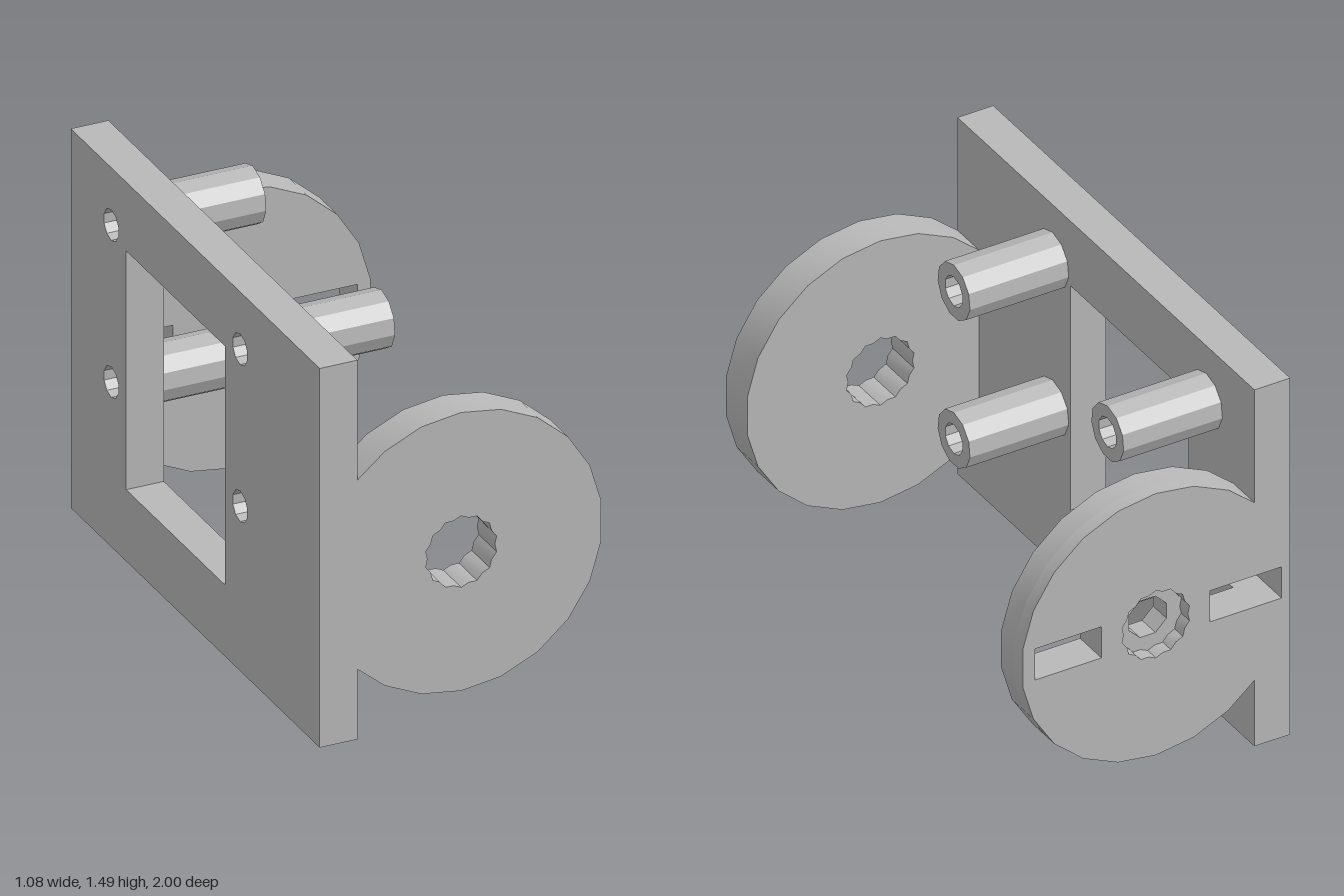
import * as THREE from 'three';
import { toCreasedNormals } from 'three/addons/utils/BufferGeometryUtils.js';

const CY = 0.645; // height of the disc axis

const ring = (cx, cy, r, n, start = Math.PI / 2) =>
  Array.from({ length: n }, (_, i) => {
    const a = start + (i * 2 * Math.PI) / n;
    const rad = typeof r === 'function' ? r(i) : r;
    return [cx + rad * Math.cos(a), cy + rad * Math.sin(a)];
  });
const rect = (x0, y0, x1, y1) => [[x0, y0], [x1, y0], [x1, y1], [x0, y1]];
const toVec = pts => pts.map(p => new THREE.Vector2(p[0], p[1]));

// Extrude an outline with holes along z
function slab(outline, holes, depth) {
  const shape = new THREE.Shape(toVec(outline));
  holes.forEach(h => shape.holes.push(new THREE.Path(toVec(h))));
  return new THREE.ExtrudeGeometry(shape, { depth, bevelEnabled: false });
}

export function createModel() {
  const model = new THREE.Group();
  const grey = new THREE.MeshStandardMaterial({ color: 0xb8b8b8 });
  grey.name = 'plain grey';

  const add = (name, geometry, x, z, crease = 0.45) => {
    const mesh = new THREE.Mesh(toCreasedNormals(geometry, crease), grey);
    mesh.name = name;
    mesh.position.set(x, 0, z);
    model.add(mesh);
  };
  // Profiles for the plate and posts are drawn as (-z, y) and extruded along x
  const alongX = g => g.rotateY(Math.PI / 2);

  // Mounting plate: window, four bores, and a slot end cut into the inner layer
  const posts = [-0.36, 0.675].flatMap(u => [CY, 1.26].map(y => [u, y]));
  const bore = ([u, y]) => ring(u, y, 0.06, 10);
  const cutouts = [rect(-0.24, 0.28, 0.555, 1.215), ...posts.map(bore)];
  const notched = [[-1, 0], [1, 0], [1, 0.58], [0.785, 0.58], [0.785, 0.71], [1, 0.71], [1, 1.485], [-1, 1.485]];
  add('plateOuterLayer', alongX(slab(rect(-1, 0, 1, 1.485), cutouts, 0.035)), -0.545, 0);
  add('plateInnerLayer', alongX(slab(notched, cutouts, 0.11)), -0.51, 0);

  // Hollow standoff posts
  posts.forEach(p => add('standoff', alongX(slab(ring(p[0], p[1], 0.11, 11), [bore(p)], 0.4)), -0.4, 0));

  // End discs, cut flat where they meet the plate
  const arc = ring(0, CY, 0.545, 22, -Math.PI / 2).filter(p => p[0] > -0.4);
  arc.sort((a, b) => Math.atan2(a[1] - CY, a[0]) - Math.atan2(b[1] - CY, b[0]));
  const disc = [[-0.4, 0.275], ...arc, [-0.4, 1.015]];
  // Re-order so the arc runs from the lower flat corner round to the upper one
  const slottedDisc = [...disc, [-0.4, 0.71], [-0.22, 0.71], [-0.22, 0.58], [-0.4, 0.58]];
  const scalloped = ring(0, CY, i => (i % 2 ? 0.13 : 0.14), 28);
  const octagon = ring(0, CY, 0.082, 8, Math.PI / 8);
  const slot = rect(0.22, 0.58, 0.49, 0.71);

  add('frontDisc', slab(disc, [scalloped], 0.145), 0, 0.855);
  add('rearDiscCounterbore', slab(slottedDisc, [scalloped, slot], 0.055), 0, -1);
  add('rearDiscInner', slab(slottedDisc, [octagon, slot], 0.09), 0, -0.945);

  return model;
}
